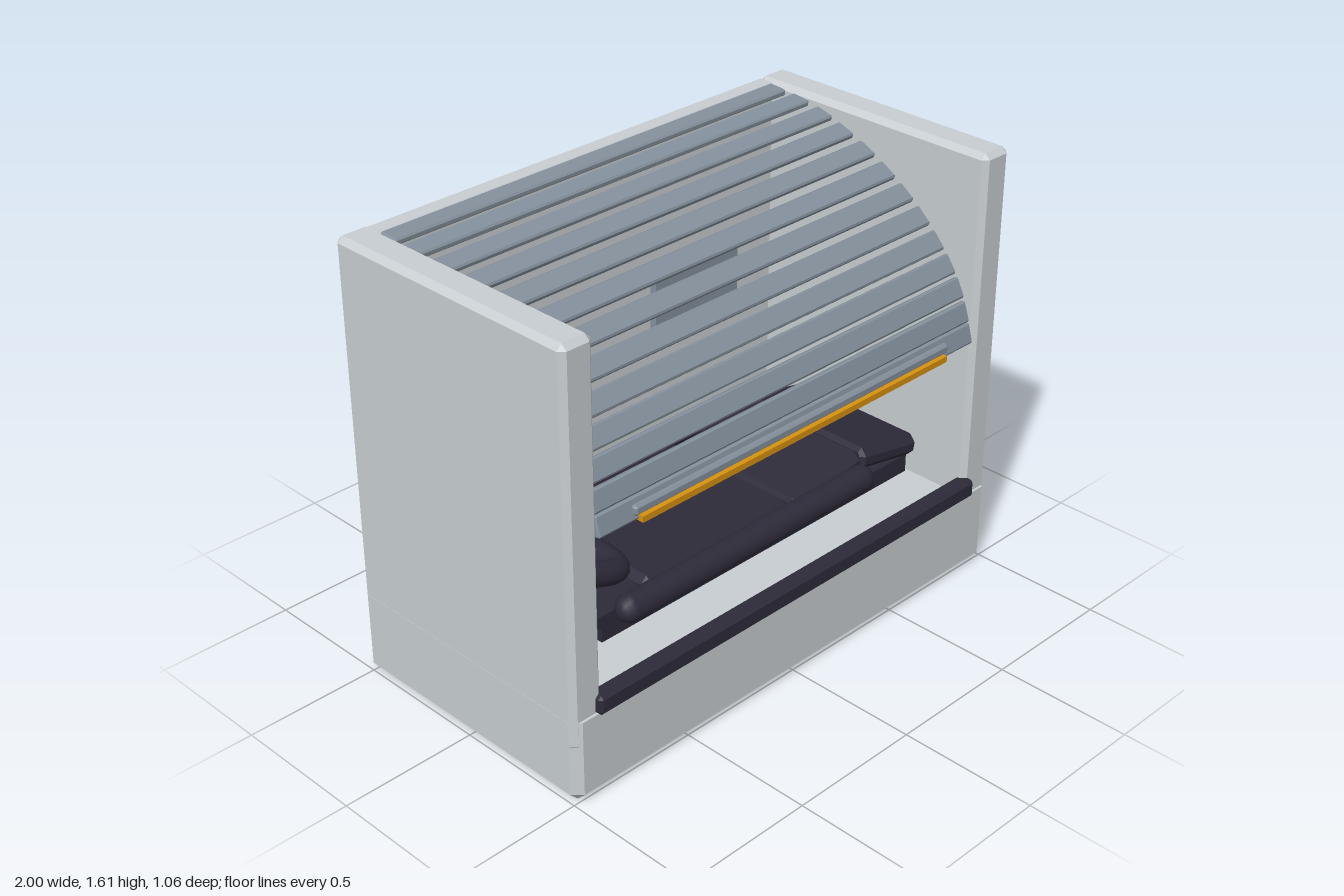
import * as THREE from 'three';
import { ConvexGeometry } from 'three/addons/geometries/ConvexGeometry.js';

const mat = (name, color) => Object.assign(new THREE.MeshStandardMaterial({ color }), { name });

// Box between two corners with chamfered edges; the top edge may stay square
function chamferBox(min, max, c, squareTop = false) {
  const pts = [];
  for (const i of [0, 1]) for (const j of [0, 1]) for (const k of [0, 1]) {
    const x = i ? max[0] : min[0], y = j ? max[1] : min[1], z = k ? max[2] : min[2];
    const ix = i ? x - c : x + c, iz = k ? z - c : z + c;
    const iy = j ? (squareTop ? y : y - c) : y + c;
    pts.push(new THREE.Vector3(x, iy, iz), new THREE.Vector3(ix, iy, z));
    if (!(j && squareTop)) pts.push(new THREE.Vector3(ix, y, iz));
  }
  return new ConvexGeometry(pts);
}

export function createModel() {
  const root = new THREE.Group();
  root.name = 'sleepingPod';
  const shell = mat('shell grey', 0xc8ced2);
  const slate = mat('slate blue', 0x84909c);
  const dark = mat('dark upholstery', 0x2e2b3a);
  const amber = mat('amber light', 0xd8920f);

  const add = (name, geo, material, parent = root) => {
    const m = new THREE.Mesh(geo, material);
    m.name = name;
    parent.add(m);
    return m;
  };

  // Shell: base, side walls and back wall
  add('base', chamferBox([-1, 0, -0.53], [1, 0.31, 0.515], 0.032, true), shell);
  for (const s of [-1, 1]) {
    const x = [s * 0.872, s * 0.999].sort((a, b) => a - b);
    add(s > 0 ? 'leftWall' : 'rightWall',
      chamferBox([x[0], 0.2, -0.52], [x[1], 1.61, 0.505], 0.02), shell);
  }
  add('backWall', chamferBox([-0.89, 0.2, -0.525], [0.89, 1.6, -0.45], 0.012), shell);

  // Dark sill along the front opening
  add('frontSill', chamferBox([-0.905, 0.303, 0.465], [0.905, 0.375, 0.53], 0.012), dark);

  // Curved shutter: slat centres as [z, y], from the front edge up to the back
  const path = [[0.483, 0.957], [0.462, 1.031], [0.43, 1.11], [0.385, 1.183], [0.327, 1.252],
    [0.258, 1.32], [0.18, 1.382], [0.095, 1.437], [0, 1.487], [-0.1, 1.527],
    [-0.2, 1.56], [-0.31, 1.58], [-0.42, 1.588]];
  const shutter = new THREE.Group();
  shutter.name = 'shutter';
  root.add(shutter);
  const slatGeo = chamferBox([-0.872, -0.037, -0.012], [0.872, 0.037, 0.012], 0.006);
  path.forEach(([z, y], i) => {
    const a = path[Math.max(i - 1, 0)], b = path[Math.min(i + 1, path.length - 1)];
    const slat = add('slat', slatGeo, slate, shutter);
    slat.position.set(0, y, z);
    slat.rotation.x = Math.atan2(b[0] - a[0], b[1] - a[1]);
  });
  add('shutterHandle', chamferBox([-0.73, 0.94, 0.485], [0.73, 0.976, 0.511], 0.008), slate, shutter);
  add('lightStrip', new THREE.BoxGeometry(1.42, 0.022, 0.03).translate(0, 0.929, 0.506), amber, shutter);

  // Panel on the inside of the back wall
  add('wallPanel', new THREE.BoxGeometry(0.41, 0.285, 0.03).translate(0.47, 0.93, -0.437), slate);

  // Reclined seat: padded sections running along x
  const seat = new THREE.Group();
  seat.name = 'recliner';
  root.add(seat);
  // Each cushion is [name, start x, start y, end x, end y, thickness]
  const cushions = [
    ['headCushion', -0.72, 0.425, -0.47, 0.43, 0.1],
    ['backCushion', -0.48, 0.43, 0.22, 0.43, 0.11],
    ['thighCushion', 0.225, 0.42, 0.585, 0.49, 0.09],
    ['legCushion', 0.56, 0.487, 0.88, 0.425, 0.085],
  ];
  for (const [name, x0, y0, x1, y1, t] of cushions) {
    const len = Math.hypot(x1 - x0, y1 - y0);
    const c = add(name, chamferBox([-len / 2, -t / 2, -0.29], [len / 2, t / 2, 0.29], 0.028), dark, seat);
    c.position.set((x0 + x1) / 2, (y0 + y1) / 2, 0);
    c.rotation.z = Math.atan2(y1 - y0, x1 - x0);
  }
  add('seatBed', new THREE.BoxGeometry(1.5, 0.07, 0.5).translate(0.11, 0.345, 0), dark, seat);

  // Long bolsters on both sides of the seat
  for (const s of [-1, 1]) {
    const bolster = add('sideBolster', new THREE.CapsuleGeometry(0.05, 1.1, 4, 12), dark, seat);
    bolster.rotation.z = Math.PI / 2;
    bolster.position.set(-0.05, 0.47, s * 0.34);
  }

  // U-shaped neck roll with both ends raised
  const ends = [[-0.715, 0.58, 0.21], [-0.54, 0.52, 0.21], [-0.5, 0.508, 0.17]];
  const pts = [...ends, ...ends.slice().reverse().map(([x, y, z]) => [x, y, -z])]
    .map((p) => new THREE.Vector3(...p));
  const roll = new THREE.CatmullRomCurve3(pts, false, 'centripetal');
  add('neckRoll', new THREE.TubeGeometry(roll, 48, 0.042, 12), dark, seat);
  for (const s of [-1, 1]) {
    const cap = add('neckRollEnd', new THREE.CircleGeometry(0.042, 12), dark, seat);
    cap.position.set(-0.715, 0.58, s * 0.21);
    cap.lookAt(-1.715, 0.92, s * 0.21);
  }
  return root;
}
